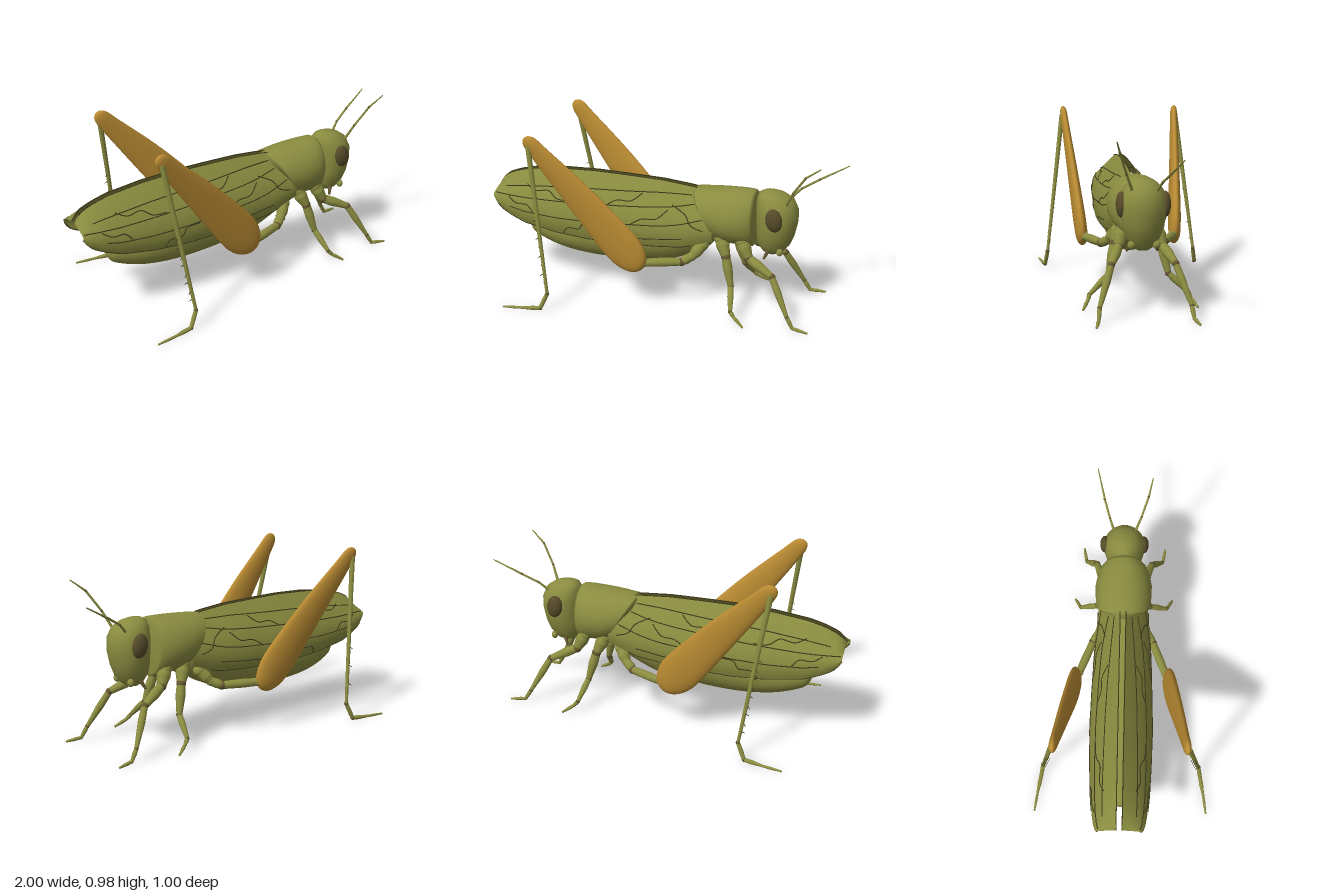
import * as THREE from 'three';

const mat = (name, color, side = THREE.FrontSide) => {
  const m = new THREE.MeshStandardMaterial({ color, side });
  m.name = name;
  return m;
};

// Linear lookup in rows sorted by their first number
function sample(rows, x) {
  let i = 0;
  while (i < rows.length - 2 && x > rows[i + 1][0]) i++;
  const a = rows[i], b = rows[i + 1];
  const t = THREE.MathUtils.clamp((x - a[0]) / (b[0] - a[0]), 0, 1);
  return a.slice(1).map((v, k) => v + (b[k + 1] - v) * t);
}

// Smooth surface through rows of points
function loft(rows, closed = true) {
  const n = rows[0].length, pos = [], idx = [];
  rows.forEach(r => r.forEach(p => pos.push(...p)));
  for (let i = 0; i < rows.length - 1; i++) {
    for (let j = 0; j < (closed ? n : n - 1); j++) {
      const k = (j + 1) % n, a = i * n + j, b = a + n, c = i * n + k, d = b - j + k;
      idx.push(a, c, b, c, d, b);
    }
  }
  const g = new THREE.BufferGeometry();
  g.setAttribute('position', new THREE.Float32BufferAttribute(pos, 3));
  g.setIndex(idx);
  g.computeVertexNormals();
  return g;
}

const ring = (f, n = 28) => Array.from({ length: n }, (_, j) => {
  const a = j / n * Math.PI * 2;
  return f(Math.cos(a), Math.sin(a));
});

// Smooth the given stations before lofting
function stations(list, count) {
  const v = [0, 1, 2, 3].map(k => new THREE.SplineCurve(list.map(r => new THREE.Vector2(r[0], r[k]))));
  return Array.from({ length: count + 1 }, (_, i) => v.map((c, k) => k ? c.getPoint(i / count).y : c.getPoint(i / count).x));
}

// Wing surface: x along the body, v from the upper to the lower edge
const WING = [[-1, .555, .50, .125], [-.985, .583, .47, .132], [-.96, .605, .45, .14], [-.9, .635, .415, .15],
  [-.8, .662, .378, .16], [-.6, .686, .347, .17], [-.4, .695, .335, .175], [-.2, .694, .337, .172],
  [0, .69, .345, .165], [.15, .677, .358, .155], [.32, .655, .41, .14]];
function wingPoint(x, v, s, lift = 0) {
  const [top, bot, out] = sample(WING, x);
  return [x, top + (bot - top) * v + lift * (1 - v), s * (.016 + (out - .016) * Math.sin(2 * v) + lift)];
}

export function createModel() {
  const root = new THREE.Group();
  root.name = 'grasshopper';
  const green = mat('olive green', 0x8a8c40);
  const wingGreen = mat('wing green', 0x878a3e, THREE.DoubleSide);
  const amber = mat('amber', 0xb88a32);
  const brown = mat('joint brown', 0x655732);
  const eyeBrown = mat('eye brown', 0x574c2a);
  const dark = mat('vein dark', 0x3f3a1c);

  const add = (name, geo, m, parent = root) => {
    const mesh = new THREE.Mesh(geo, m);
    mesh.name = name;
    parent.add(mesh);
    return mesh;
  };
  const group = name => {
    const g = new THREE.Group();
    g.name = name;
    root.add(g);
    return g;
  };
  const ball = (name, p, r, m, parent = root) => {
    const b = add(name, new THREE.SphereGeometry(1, 20, 14), m, parent);
    b.position.set(...p);
    b.scale.set(...r);
    return b;
  };
  // Tapered rod between two points
  const rod = (name, a, b, ra, rb, m, parent) => {
    const A = new THREE.Vector3(...a), B = new THREE.Vector3(...b), d = B.clone().sub(A);
    const mesh = add(name, new THREE.CylinderGeometry(rb, ra, d.length(), 12), m, parent);
    mesh.position.copy(A).addScaledVector(d, .5);
    mesh.quaternion.setFromUnitVectors(new THREE.Vector3(0, 1, 0), d.normalize());
    return mesh;
  };
  // Chain of rods with round joints; each segment swells in the middle
  const chain = (name, pts, radii, parent, jointMats) => {
    for (let i = 0; i < pts.length - 1; i++) {
      const a = pts[i], b = pts[i + 1], m = a.map((v, k) => v + (b[k] - v) * .4);
      const swell = Math.max(radii[i], radii[i + 1]) * 1.12;
      rod(name + 'Segment', a, m, radii[i], swell, green, parent);
      rod(name + 'Segment', m, b, swell, radii[i + 1], green, parent);
    }
    pts.forEach((p, i) => ball(name + 'Joint', p, Array(3).fill(radii[i] * 1.1), jointMats[i] || green, parent));
  };

  // Abdomen: x, centre y, half height, half width
  const abdomen = stations([[-.825, .33, 0, 0], [-.815, .328, .035, .035], [-.77, .32, .07, .065], [-.6, .312, .115, .108],
    [-.35, .33, .153, .126], [0, .385, .178, .13], [.17, .435, .168, .13], [.27, .475, .15, .12],
    [.32, .50, .10, .09], [.33, .51, 0, 0]], 48);
  add('abdomen', loft(abdomen.map(([x, cy, ry, rz]) => ring((c, s) => [x, cy + ry * c, rz * s]))), green);

  // Thorax shield with a slanted rear rim
  const shield = [[0, .53, .04, .04], [0, .53, .13, .135], [.03, .525, .146, .15], [.3, .527, .154, .16],
    [.55, .53, .157, .161], [.8, .53, .162, .15], [.95, .53, .163, .13], [1, .53, .15, .118], [1, .53, 0, 0]];
  add('thoraxShield', loft(shield.map(([t, cy, ry, rz]) => ring((c, s) => {
    const rear = .18 + .09 * (1 - c);
    return [rear + (.535 - rear) * t, cy + ry * c, rz * s];
  }, 36))), green);

  // Head: y, centre x, half depth, half width, from crown to chin
  const head = [[.705, .605, 0, 0], [.7, .61, .04, .035], [.685, .622, .076, .066], [.655, .638, .103, .095],
    [.6, .65, .116, .115], [.53, .651, .114, .117], [.46, .645, .106, .107], [.4, .637, .092, .086],
    [.355, .632, .06, .056], [.337, .63, .03, .03], [.333, .63, 0, 0]];
  add('head', loft(head.map(([y, cx, rx, rz]) => ring((c, s) => [cx + rx * c, y, rz * s]))), green);

  for (const s of [1, -1]) {
    const side = s > 0 ? 'left' : 'right';
    const sideName = part => side === 'left' ? part + 'Right' : part + 'Left';
    const at = pts => pts.map(([x, y, z]) => [x, y, s * z]);

    // Eyes and mouthparts
    ball('eye', [.655, .575, s * .112], [.046, .066, .028], eyeBrown).rotation.z = .15;
    ball('palp', [.685, .372, s * .064], [.018, .022, .02], green);
    rod('mouthFeeler', [.62, .37, s * .06], [.6, .325, s * .08], .012, .006, brown, root);

    // Antennae, swept differently on each side
    const ant = group(sideName('antenna'));
    const pts = s > 0 ? [[.705, .645, .06], [.75, .74, .095], [.82, .85, .133], [.9, .914, .155]]
      : [[.705, .645, -.06], [.76, .7, -.085], [.85, .752, -.115], [1, .834, -.155]];
    pts.slice(1).forEach((p, i) => rod('antennaSegment', pts[i], p, [.008, .006, .006][i], [.006, .006, .003][i], green, ant));
    ball('antennaBase', pts[0], [.013, .013, .013], green, ant);
    pts.slice(1, 3).forEach(p => ball('antennaJoint', p, [.007, .007, .007], brown, ant));

    // Folded wing
    const wing = group(sideName('wing'));
    const rows = Array.from({ length: 49 }, (_, i) => {
      const x = -1 + 1.32 * Math.pow(i / 48, 1.5);
      return Array.from({ length: 15 }, (_, j) => wingPoint(x, j / 14, s));
    });
    add('wingSheet', loft(rows, false), wingGreen, wing);

    // Veins and wing edges, given as x and v
    const veins = [
      [[-.99, .5], [-.7, .47], [-.4, .43], [0, .36], [.2, .25]],
      [[-.93, .3], [-.6, .25], [-.2, .2], [.18, .12]],
      [[-.88, .75], [-.6, .72], [-.2, .66], [.05, .62], [.26, .5]],
      [[-.8, .25], [-.74, .34], [-.66, .32], [-.6, .42], [-.52, .43]],
      [[-.55, .98], [-.52, .86], [-.45, .84], [-.42, .72], [-.34, .7]],
      [[-.9, .52], [-.85, .62], [-.78, .6], [-.74, .72]],
      [[-.3, .42], [-.24, .33], [-.16, .32], [-.1, .2]],
      [[-.15, .66], [-.08, .55], [0, .53], [.06, .38]],
      [[.08, .3], [.16, .42], [.2, .6], [.27, .72]],
      [[-.2, .9], [0, .86], [.15, .84]],
    ];
    for (const v of veins) {
      const line = new THREE.SplineCurve(v.map(p => new THREE.Vector2(...p)));
      const path = line.getPoints(30).map(p => new THREE.Vector3(...wingPoint(p.x, p.y, s, .001)));
      add('wingVein', new THREE.TubeGeometry(new THREE.CatmullRomCurve3(path), 40, .003, 5), dark, wing);
    }
    for (const v of [0, 1]) {
      const path = Array.from({ length: 30 }, (_, i) => new THREE.Vector3(...wingPoint(-1 + 1.2 * i / 29, v, s)));
      add('wingEdge', new THREE.TubeGeometry(new THREE.CatmullRomCurve3(path), 60, .003, 5), dark, wing);
    }

    // Hind leg: broad flattened thigh, t runs from knee to hip
    const hind = group(sideName('hindLeg'));
    const thigh = stations([[-1.18, 0, 0, .12], [-1.172, .022, .012, .12], [-1.14, .042, .02, .122], [-1.05, .054, .022, .123],
      [-.75, .088, .028, .13], [-.45, .111, .034, .128], [-.33, .105, .035, .127], [-.26, .076, .032, .126],
      [-.225, .04, .02, .125], [-.213, 0, 0, .125]], 50);
    add('hindThigh', loft(thigh.map(([t, w, d, n]) => ring((c, sn) => [
      .65 * t + .76 * (n + w * c), -.76 * t + .65 * (n + w * c), s * (.341 - .075 * (t + 1.15) / .9) + d * sn]))), amber, hind);
    chain('hip', at([[-.03, .285, .25], [.16, .285, .175], [.21, .31, .14], [.26, .37, .1]]), [.022, .022, .024, .03], hind, [green, brown]);
    const knee = [-.655, .93, s * .35], ankle = [-.535, .105, s * .45];
    rod('hindShin', knee, ankle, .015, .009, green, hind);
    for (let i = 0; i < 9; i++) {
      const p = knee.map((v, k) => v + (ankle[k] - v) * (.42 + i * .062));
      rod('shinSpine', p, [p[0] - .022, p[1] - .018, p[2] + s * (i % 2 ? .012 : -.012)], .004, .001, dark, hind);
    }
    chain('hindFoot', [ankle, [-.575, .016, s * .465], [-.68, .01, s * .483], [-.785, .007, s * .497]],
      [.011, .011, .007, .005], hind, [brown, brown]);

    // Middle and front legs
    chain('middleLeg', at([[.36, .42, .09], [.4, .33, .125], [.44, .17, .158], [.468, .07, .262], [.49, .045, .272], [.547, .008, .3]]),
      [.034, .024, .016, .011, .009, .006], group(sideName('middleLeg')), [green, brown, brown, brown]);
    chain('frontLeg', at([[.48, .42, .09], [.525, .335, .115], [.67, .268, .165], [.775, .075, .232], [.81, .016, .24], [.893, .008, .255]]),
      [.034, .025, .018, .011, .009, .006], group(sideName('frontLeg')), [green, brown, brown, brown]);
  }
  return root;
}
